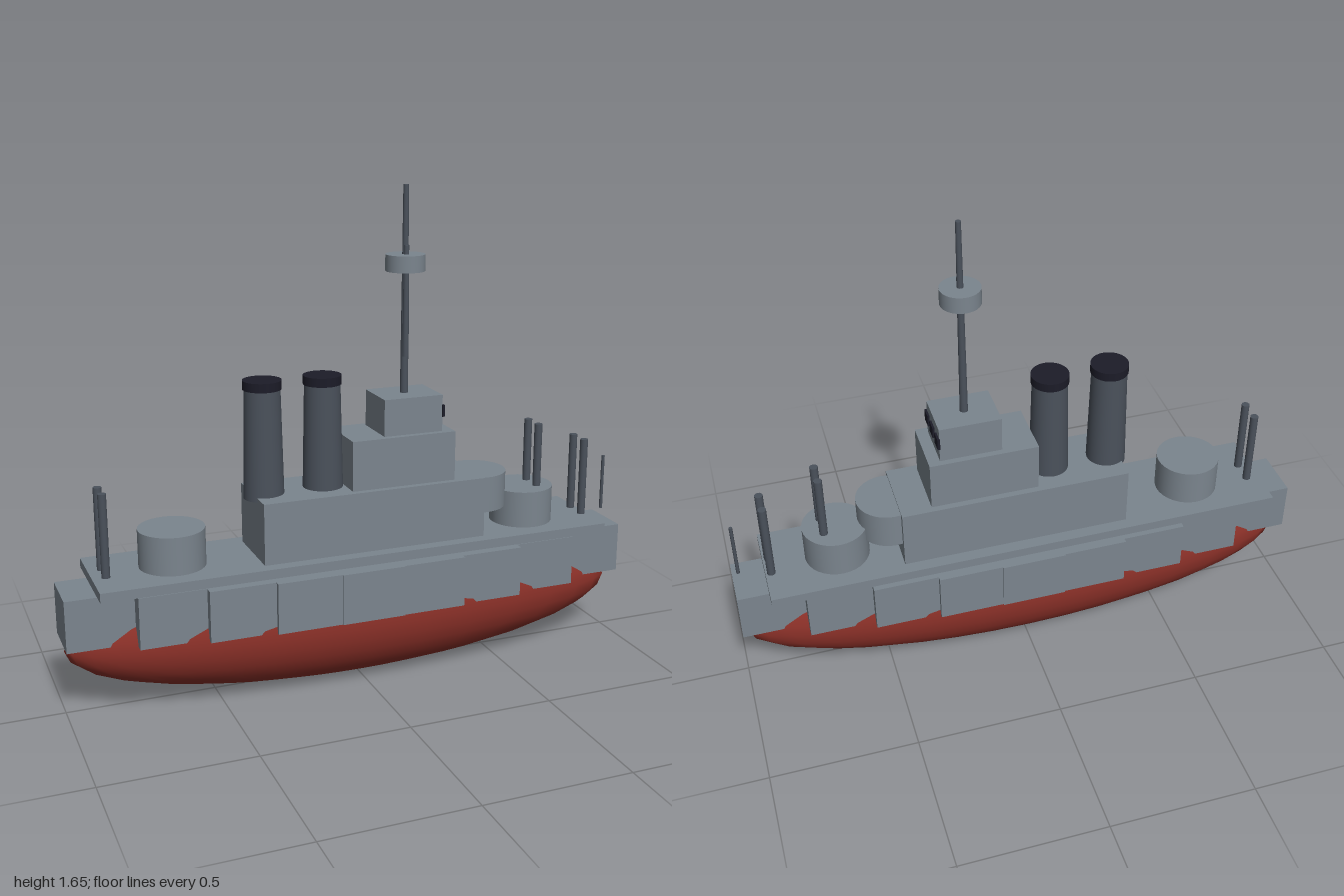
import * as THREE from 'three';

const mat = (name, color) => {
  const m = new THREE.MeshStandardMaterial({ color });
  m.name = name;
  return m;
};

export function createModel() {
  const grey = mat('light grey paint', 0x7b858e);
  const dark = mat('dark grey metal', 0x4a515b);
  const black = mat('soot black', 0x1c1c28);
  const red = mat('hull red', 0x8a3028);

  const ship = new THREE.Group();
  ship.name = 'ship';

  const add = (name, geometry, material, x, y, z) => {
    const mesh = new THREE.Mesh(geometry, material);
    mesh.name = name;
    mesh.position.set(x, y, z);
    ship.add(mesh);
    return mesh;
  };
  // Box given by its x range, y range and half width in z
  const block = (name, x0, x1, y0, y1, half, material = grey) =>
    add(name, new THREE.BoxGeometry(x1 - x0, y1 - y0, half * 2), material,
      (x0 + x1) / 2, (y0 + y1) / 2, 0);
  // Upright cylinder given by its y range and radii
  const post = (name, x, z, y0, y1, rBottom, rTop, material, sides = 32) =>
    add(name, new THREE.CylinderGeometry(rTop, rBottom, y1 - y0, sides), material,
      x, (y0 + y1) / 2, z);

  // Rounded lower hull
  const hull = new THREE.SphereGeometry(1, 32, 16);
  hull.scale(0.995, 0.215, 0.196);
  add('lowerHull', hull, red, 0, 0.215, 0);

  // Stepped side armour, narrowing toward both ends
  const count = 9, length = 2 / count;
  for (let i = 0; i < count; i++) {
    const x = -1 + (i + 0.5) * length;
    const half = 0.198 * Math.sqrt(1 - x * x);
    block('armourSection', x - length / 2, x + length / 2, 0.245, 0.42, half);
  }

  // Deck and superstructure
  block('deck', -0.9, 0.893, 0.43, 0.462, 0.168);
  block('superstructure', -0.355, 0.435, 0.462, 0.67, 0.126);
  block('bridge', -0.04, 0.33, 0.67, 0.84, 0.104);
  block('wheelhouse', 0.08, 0.29, 0.84, 0.965, 0.083);
  for (const z of [-0.066, 0, 0.066]) {
    add('window', new THREE.BoxGeometry(0.009, 0.04, 0.043), black, 0.2925, 0.91, z);
  }

  // Gun turrets
  post('aftTurret', -0.63, 0, 0.462, 0.59, 0.11, 0.11, grey);
  post('foreTurret', 0.643, 0, 0.462, 0.59, 0.11, 0.11, grey);
  post('raisedTurret', 0.455, 0, 0.54, 0.665, 0.11, 0.11, grey);

  // Funnels with black tops
  for (const x of [-0.315, -0.108]) {
    post('funnel', x, 0, 0.655, 1.02, 0.068, 0.06, dark);
    post('funnelCap', x, 0, 1.02, 1.05, 0.064, 0.064, black);
  }

  // Mast, topmast and lookout
  post('mast', 0.185, 0, 0.96, 1.655, 0.014, 0.009, dark, 12);
  post('topmastBrace', 0.185, 0.008, 1.09, 1.46, 0.011, 0.009, dark, 12);
  post('crowsNest', 0.185, 0, 1.375, 1.43, 0.066, 0.066, grey);

  // Upright gun barrels in pairs
  for (const [x, top] of [[-0.855, 0.74], [0.685, 0.815], [0.873, 0.74]]) {
    for (const side of [-1, 1]) {
      post('gunBarrel', x, side * 0.037, 0.462, top, 0.014, 0.014, dark, 16);
    }
  }

  // Bow staff
  post('bowStaff', 0.979, 0, 0.458, 0.658, 0.006, 0.006, dark, 8);

  return ship;
}
